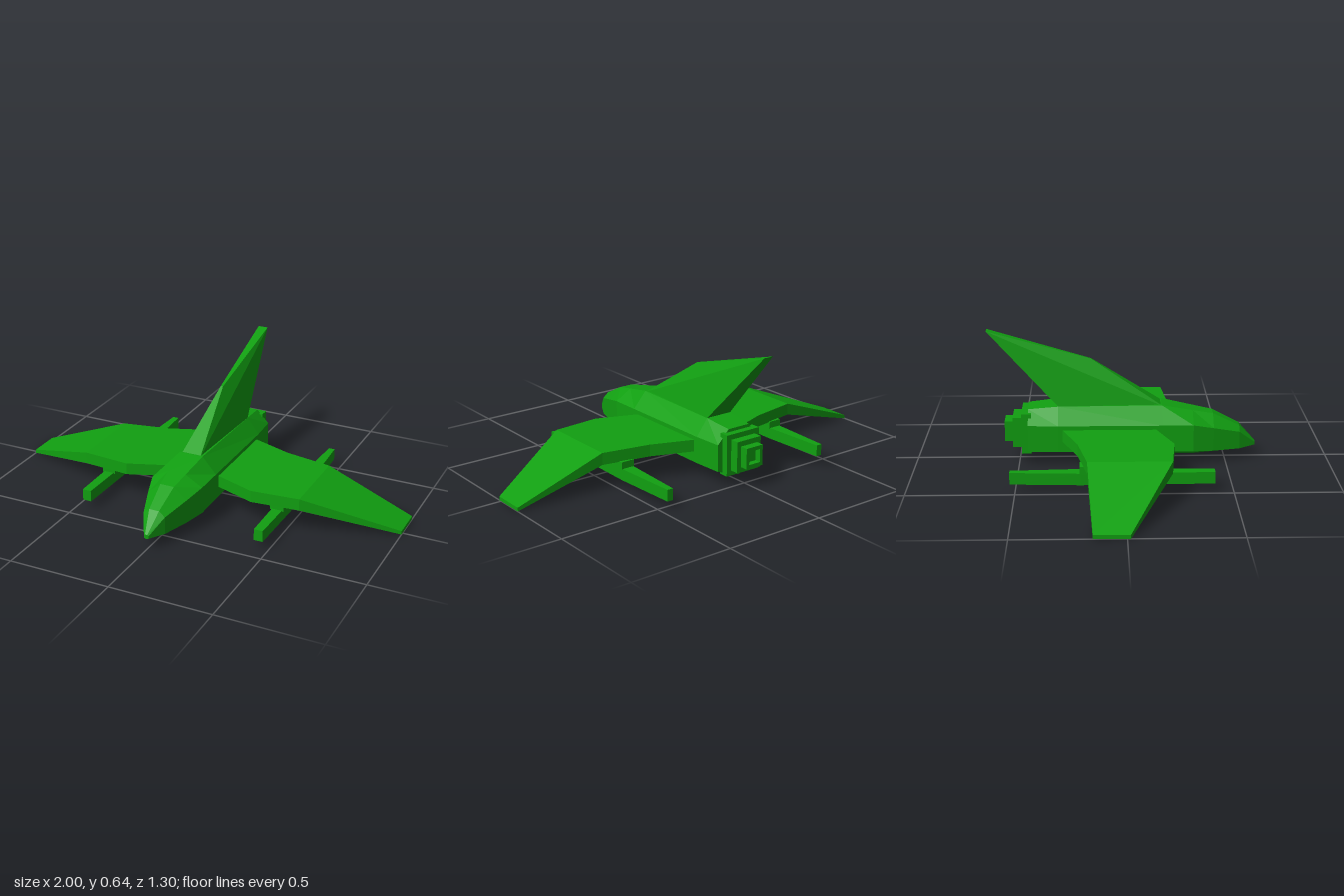
import * as THREE from 'three';

const material = new THREE.MeshStandardMaterial({ color: 0x11a011, flatShading: true, side: THREE.DoubleSide });

function addMesh(parent, name, geometry) {
  const mesh = new THREE.Mesh(geometry, material);
  mesh.name = name;
  parent.add(mesh);
  return mesh;
}

// Skin a list of closed cross-sections (equal point counts) and cap both ends.
function loft(sections) {
  const tris = [];
  const n = sections[0].length;
  for (let s = 0; s < sections.length - 1; s++) {
    const a = sections[s], b = sections[s + 1];
    for (let i = 0; i < n; i++) {
      const j = (i + 1) % n;
      tris.push([a[i], a[j], b[j]], [a[i], b[j], b[i]]);
    }
  }
  const first = sections[0], last = sections[sections.length - 1];
  for (let i = 1; i < n - 1; i++) {
    tris.push([first[0], first[i + 1], first[i]], [last[0], last[i], last[i + 1]]);
  }
  // A negative enclosed volume means the faces point inward: turn them round.
  const v = (p) => new THREE.Vector3(...p);
  const volume = tris.reduce((sum, [a, b, c]) => sum + v(a).dot(v(b).cross(v(c))), 0);
  if (volume < 0) tris.forEach((t) => t.reverse());
  const geometry = new THREE.BufferGeometry();
  geometry.setAttribute('position', new THREE.Float32BufferAttribute(tris.flat(2), 3));
  geometry.computeVertexNormals();
  return geometry;
}

// Rectangular section across z
const rectZ = (z, x, w, y0, y1) => [[x - w, y0, z], [x + w, y0, z], [x + w, y1, z], [x - w, y1, z]];

// Square frame with a square opening
function frame(w, h, hole, depth) {
  const shape = new THREE.Shape([[-w, -h], [w, -h], [w, h], [-w, h]].map((p) => new THREE.Vector2(...p)));
  shape.holes.push(new THREE.Path(
    [[-hole, -hole], [-hole, hole], [hole, hole], [hole, -hole]].map((p) => new THREE.Vector2(...p))));
  return new THREE.ExtrudeGeometry(shape, { depth, bevelEnabled: false });
}

export function createModel() {
  const group = new THREE.Group();
  group.name = 'jet';

  // Fuselage: z, top half width, top y, side half width, shoulder y, chine y, keel y
  const stations = [
    [0.65, 0.006, 0.078, 0.012, 0.072, 0.06, 0.055],
    [0.57, 0.025, 0.165, 0.055, 0.14, 0.055, 0.038],
    [0.44, 0.035, 0.23, 0.1, 0.175, 0.06, 0.022],
    [0.34, 0.045, 0.25, 0.13, 0.2, 0.068, 0.012],
    [0.19, 0.06, 0.28, 0.13, 0.2, 0.07, 0.014],
    [-0.31, 0.07, 0.28, 0.13, 0.2, 0.07, 0.025],
    [-0.455, 0.06, 0.265, 0.122, 0.2, 0.07, 0.029],
  ];
  addMesh(group, 'fuselage', loft(stations.map(([z, tw, ty, w, sy, cy, ky]) => [
    [tw, ty, z], [w, sy, z], [w, cy, z], [0, ky, z], [-w, cy, z], [-w, sy, z], [-tw, ty, z],
  ])));

  // Tail fin: leading edge pinched halfway up, wide trailing edge
  const finOutline = [[0.05, 0.27, 0.2], [0.006, 0.5, -0.15], [0.025, 0.643, -0.65], [0.07, 0.275, -0.305]];
  addMesh(group, 'tailFin', loft([1, -1].map((s) => finOutline.map(([x, y, z]) => [s * x, y, z]))));

  // Wings: x, front z, rear z, bottom y, top y
  const ribs = [
    [0.1, 0.15, -0.3, 0.122, 0.18],
    [0.33, 0.235, -0.215, 0.122, 0.18],
    [0.565, 0.215, -0.17, 0.122, 0.18],
    [1, 0.015, -0.145, 0, 0.018],
  ];
  for (const side of [1, -1]) {
    const label = side > 0 ? 'left' : 'right';
    addMesh(group, label + 'Wing', loft(ribs.map(([x, zf, zr, y0, y1]) =>
      [[side * x, y0, zf], [side * x, y1, zf], [side * x, y1, zr], [side * x, y0, zr]])));

    // Slim pod tapering to both ends, hung on a short pylon
    const px = side * 0.449;
    addMesh(group, label + 'Pod', loft([
      rectZ(0.415, px, 0.022, 0.036, 0.092),
      rectZ(-0.2, px, 0.031, 0.036, 0.092),
      rectZ(-0.525, px, 0.015, 0.036, 0.092),
    ]));
    addMesh(group, label + 'Pylon', loft([
      rectZ(0.2, px, 0.034, 0.088, 0.125),
      rectZ(-0.205, px, 0.034, 0.088, 0.125),
    ]));
  }

  // Stepped square exhaust: half width, half height, opening, front z, rear z
  const steps = [
    [0.095, 0.1, 0.055, -0.44, -0.487],
    [0.07, 0.075, 0.045, -0.47, -0.53],
    [0.048, 0.05, 0.032, -0.5, -0.57],
  ];
  steps.forEach(([w, h, hole, zf, zr], i) => {
    addMesh(group, 'exhaustStep' + (i + 1), frame(w, h, hole, zf - zr)).position.set(0, 0.15, zr);
  });
  addMesh(group, 'exhaustCore', new THREE.BoxGeometry(0.07, 0.07, 0.06)).position.set(0, 0.15, -0.51);

  return group;
}
